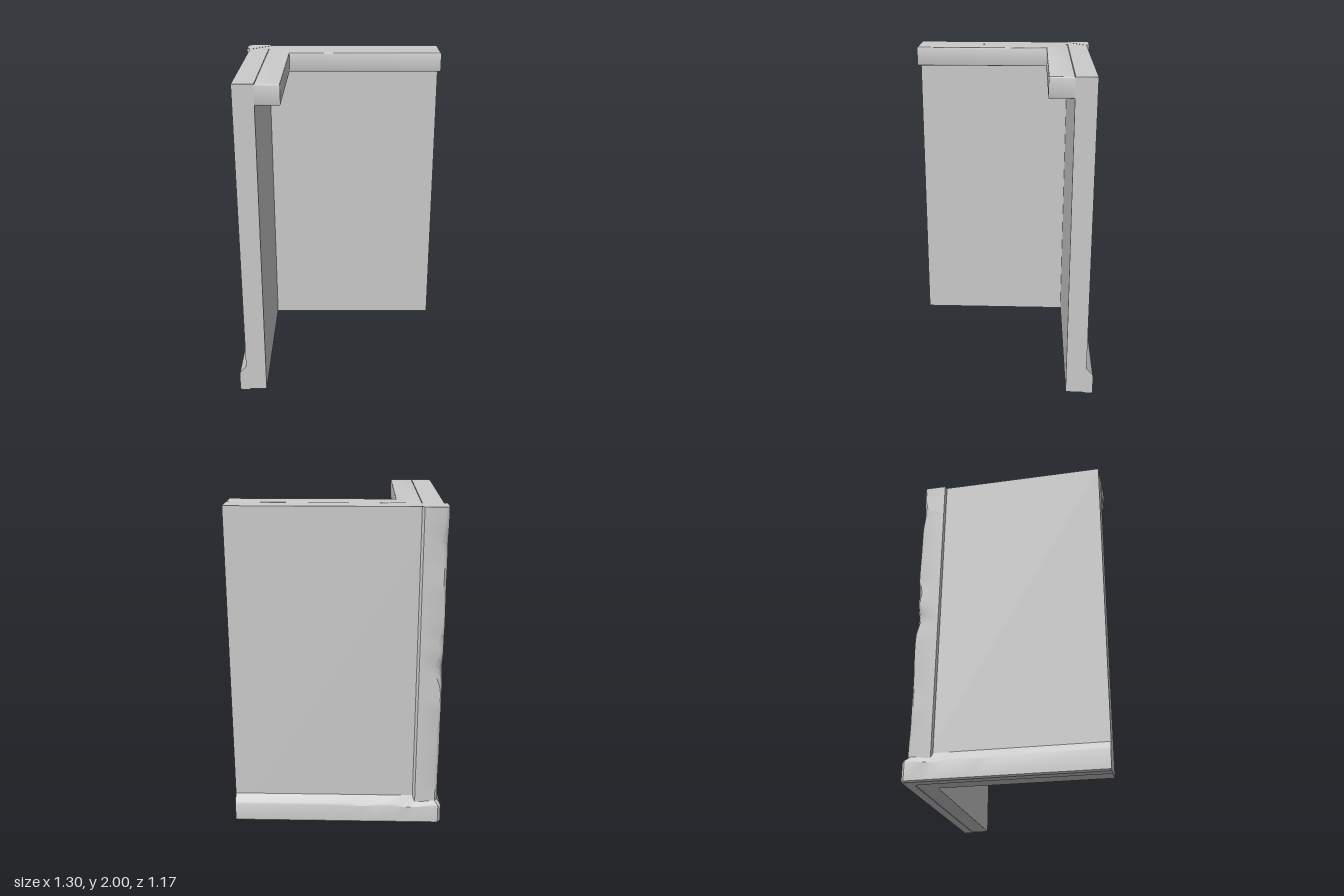
import * as THREE from 'three';
import { toCreasedNormals } from 'three/addons/utils/BufferGeometryUtils.js';

const material = new THREE.MeshStandardMaterial({ color: 0xcccccc });

// Outer wall faces, wall thickness and the free ends of the two wings
const OUT_X = -0.607, OUT_Z = -0.545, THICK = 0.125, END_X = 0.645, END_Z = 0.58;

// Skins a list of equal rings (each [x, y, z] points) and caps both ends
function loft(rings, crease) {
  const n = rings[0].length, pos = [];
  const tri = (a, b, c) => pos.push(...a, ...b, ...c);
  for (let s = 0; s < rings.length - 1; s++) {
    for (let i = 0; i < n; i++) {
      const j = (i + 1) % n, p = rings[s], q = rings[s + 1];
      tri(p[i], q[i], q[j]);
      tri(p[i], q[j], p[j]);
    }
  }
  const first = rings[0], last = rings[rings.length - 1];
  for (let i = 1; i < n - 1; i++) {
    tri(first[0], first[i], first[i + 1]);
    tri(last[0], last[i + 1], last[i]);
  }
  const g = new THREE.BufferGeometry();
  g.setAttribute('position', new THREE.Float32BufferAttribute(pos, 3));
  return toCreasedNormals(g, crease);
}

function part(group, name, geometry) {
  const mesh = new THREE.Mesh(geometry, material);
  mesh.name = name;
  group.add(mesh);
}

// Runs an (outward, y) profile round the corner; profileAt(t) varies with distance t from it
function sweepCorner(profileAt, stops, cut = 0) {
  const back = t => profileAt(t).map(([d, y]) => [Math.max(END_X - (END_X - OUT_X) * (1 - t), OUT_X - d + cut), y, OUT_Z - d]);
  const side = t => profileAt(t).map(([d, y]) => [OUT_X - d, y, Math.max(OUT_Z + (END_Z - OUT_Z) * t, OUT_Z - d + cut)]);
  const mitreBack = profileAt(0).map(([d, y]) => [OUT_X - d + cut, y, OUT_Z - d]);
  const mitreSide = profileAt(0).map(([d, y]) => [OUT_X - d, y, OUT_Z - d + cut]);
  const corner = cut ? [mitreBack, mitreSide] : [mitreBack];
  return loft([...[...stops].reverse().map(back), ...corner, ...stops.map(side)], 0.5);
}

// Smooth dent of given depth and half-width
const dent = (y, at, width, depth) => depth * Math.exp(-(((y - at) / width) ** 2));

export function createModel() {
  const group = new THREE.Group();

  // Two wall wings meeting at a right angle
  const wall = [[-THICK, 0.01], [0, 0.01], [0, 1.999], [-THICK, 1.999]];
  part(group, 'walls', sweepCorner(() => wall, [1]));

  // Skirting along the outside foot, its shoulder worn near the corner
  const skirting = t => {
    const wear = dent(t, 0.12, 0.06, 0.012) + dent(t, 0.35, 0.08, 0.006);
    return [[-0.02, 0.005], [0.036, 0.005], [0.043, 0.014],
      [0.043 - wear * 0.5, 0.125 - wear], [0.038 - wear, 0.137 - wear], [0, 0.178], [-0.02, 0.178]];
  };
  part(group, 'skirting', sweepCorner(skirting, [0.08, 0.13, 0.2, 0.28, 0.35, 0.45, 1], 0.018));

  // Raised corner strip with a chipped outer edge
  const rings = [];
  for (let i = 0; i <= 48; i++) {
    const y = 0.1 + 1.9 * i / 48;
    const chip = 0.012 + dent(y, 1.8, 0.08, 0.022) + dent(y, 1.03, 0.07, 0.03)
      + dent(y, 1.22, 0.04, 0.014) + dent(y, 0.35, 0.1, 0.01) + 0.004 * Math.sin(y * 13);
    const skew = 0.25 * Math.sin(y * 9);
    rings.push([
      [-0.59, -0.42], [-0.607, -0.42], [-0.627, -0.427],
      [-0.627, -0.565 + chip * (1.3 + skew)],
      [-0.627 + chip * 0.45, -0.565 + chip * 0.45],
      [-0.627 + chip * (1.3 - skew), -0.565],
      [-0.487, -0.565], [-0.473, -0.545], [-0.473, -0.53],
    ].map(([x, z]) => [x, y, z]));
  }
  part(group, 'cornerStrip', loft(rings, 0.6));

  // Rounded coping rail along the inside of the top
  const b = 0.007;
  const x0 = OUT_X + THICK + b, z0 = OUT_Z + THICK + b, x1 = -0.338 - b, z1 = -0.275 - b;
  const rail = new THREE.Shape([
    [x0, z0], [0.648 - b, z0], [0.648 - b, z1], [x1, z1], [x1, 0.583 - b], [x0, 0.583 - b],
  ].map(([x, z]) => new THREE.Vector2(x, -z)));
  const railGeo = new THREE.ExtrudeGeometry(rail, {
    depth: 0.122 - 2 * b, bevelEnabled: true, bevelSize: b, bevelThickness: b, bevelSegments: 3,
  });
  railGeo.rotateX(-Math.PI / 2).translate(0, 1.878 + b, 0);
  part(group, 'topRail', toCreasedNormals(railGeo, 0.7));

  return group;
}
